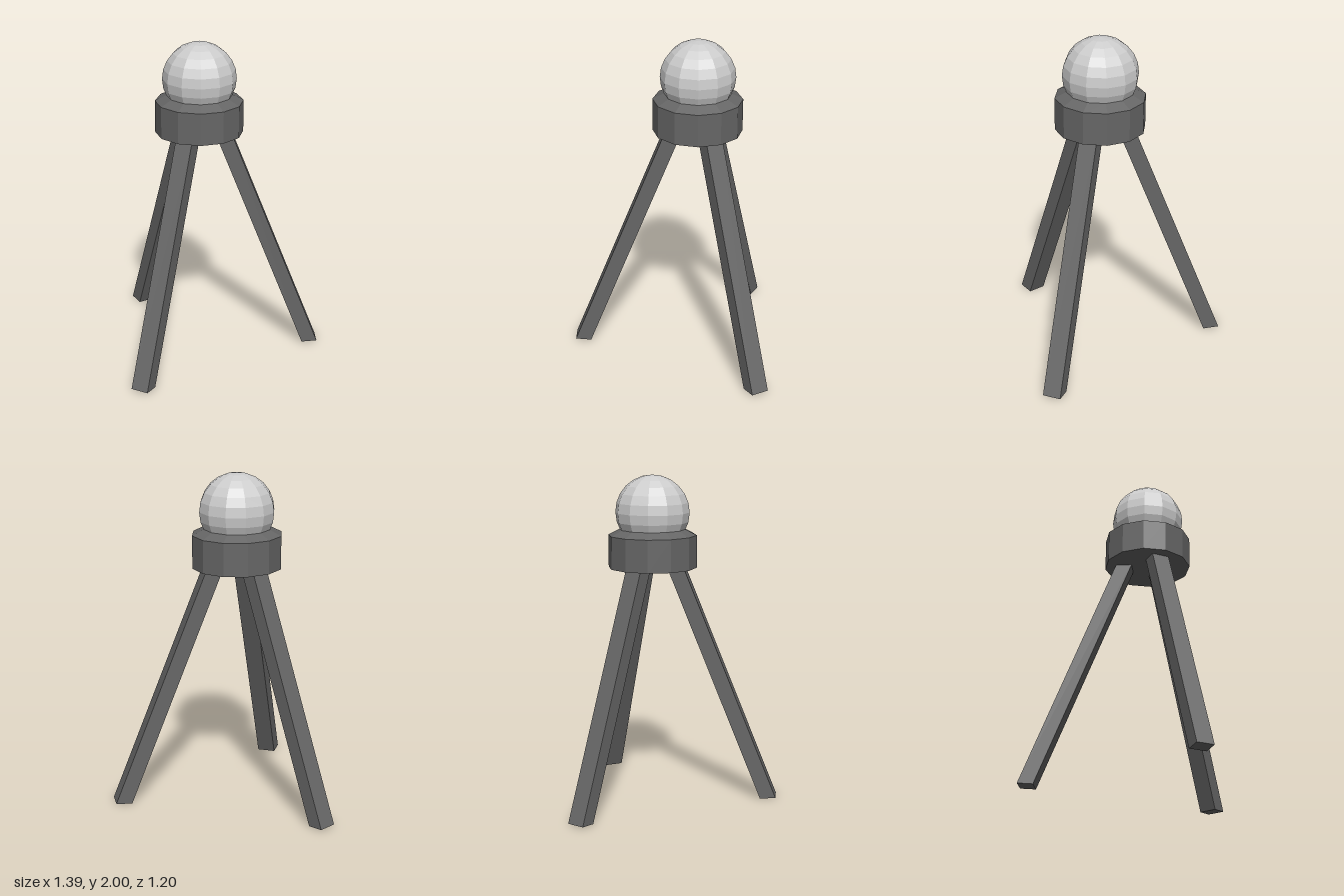
import * as THREE from 'three';

const AXIS_Z = -0.168; // central axis of the stand
const light = new THREE.MeshStandardMaterial({ color: 0xcccccc, flatShading: true });
const dark = new THREE.MeshStandardMaterial({ color: 0x666666, flatShading: true });

function add(parent, name, geometry, material, y = 0) {
  const mesh = new THREE.Mesh(geometry, material);
  mesh.name = name;
  mesh.position.y = y;
  parent.add(mesh);
  return mesh;
}

// A box leaning outwards along +z, its ends cut nearly level
function legGeometry() {
  const geometry = new THREE.BoxGeometry(0.11, 1, 1);
  const p = geometry.attributes.position;
  for (let i = 0; i < p.count; i++) {
    const top = p.getY(i) > 0;
    const outer = p.getZ(i) > 0;
    const y = top ? 1.52 : outer ? 0.008 : 0;
    const inner = 0.672 - 0.4 * y;
    p.setY(i, y);
    p.setZ(i, outer ? inner + 0.1 - 0.0 * y : inner);
  }
  geometry.computeVertexNormals();
  return geometry;
}

export function createModel() {
  const model = new THREE.Group();
  model.name = 'tripodLamp';
  const stand = new THREE.Group();
  stand.name = 'stand';
  stand.position.z = AXIS_Z;
  model.add(stand);

  // Globe seated in the collar
  add(stand, 'globe', new THREE.SphereGeometry(0.226, 12, 12), light, 1.774);

  // Twelve-sided collar with a bevelled rim
  add(stand, 'collar', new THREE.CylinderGeometry(0.27, 0.27, 0.198, 12), dark, 1.538);
  add(stand, 'collarBevel', new THREE.CylinderGeometry(0.2, 0.27, 0.035, 12, 1, true), dark, 1.6545);

  // Three splayed legs: one at the front, two at the back
  const leg = legGeometry();
  ['frontLeg', 'backLeftLeg', 'backRightLeg'].forEach((name, i) => {
    add(stand, name, leg, dark).rotation.y = (i * Math.PI * 2) / 3;
  });
  return model;
}
